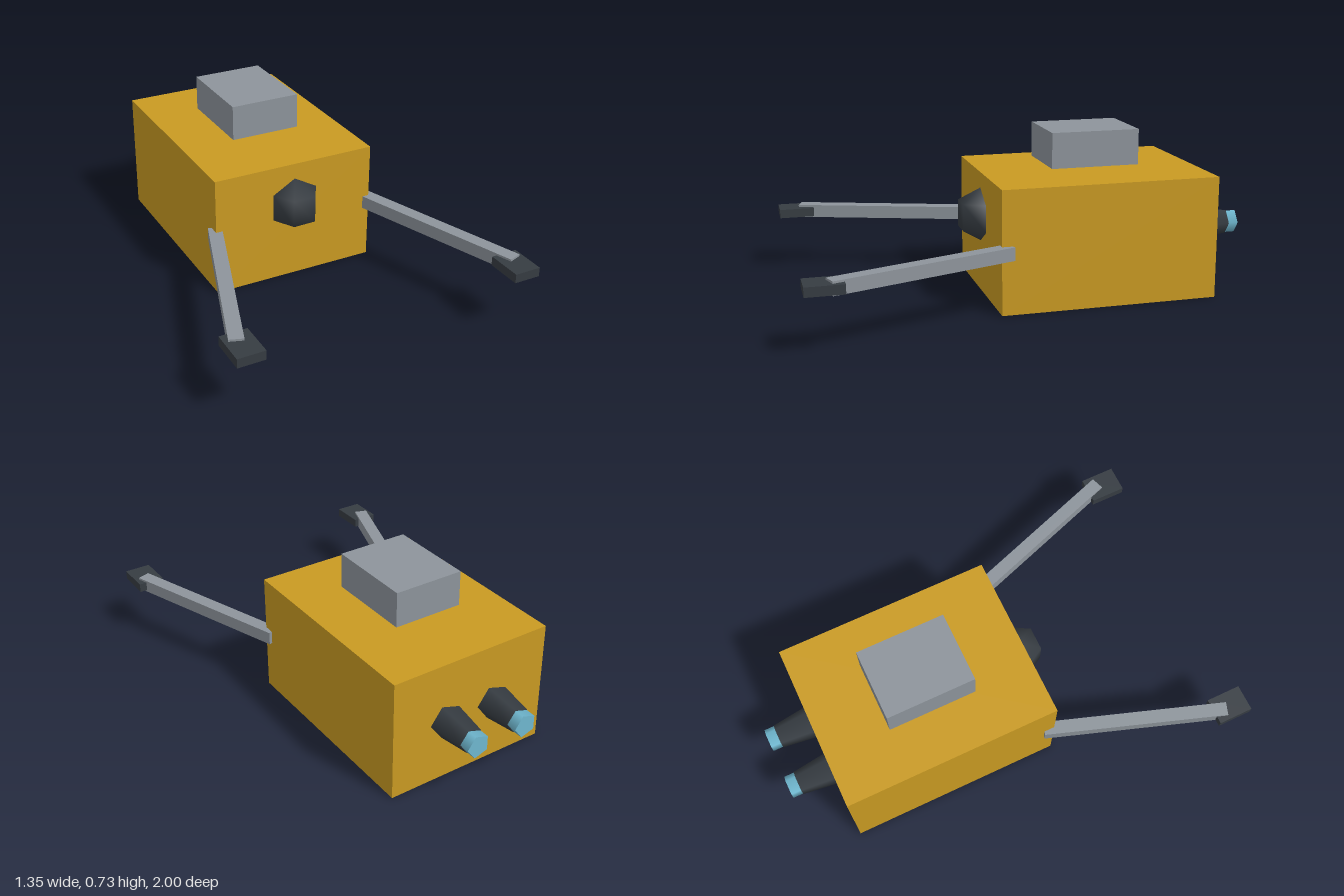
import * as THREE from 'three';

const material = (name, color) => {
  const m = new THREE.MeshStandardMaterial({ color });
  m.name = name;
  return m;
};

export function createModel() {
  const model = new THREE.Group();
  model.name = 'utilityPod';
  const gold = material('gold', 0xc99a22);
  const grey = material('grey', 0x8d949b);
  const dark = material('charcoal', 0x363c42);
  const blue = material('glowBlue', 0x6fb7cf);

  const add = (name, geometry, mat, x, y, z) => {
    const mesh = new THREE.Mesh(geometry, mat);
    mesh.name = name;
    mesh.position.set(x, y, z);
    model.add(mesh);
    return mesh;
  };

  // Five-sided tapered barrel pointing backwards, one corner towards +x
  const barrel = (rear, front, length) =>
    new THREE.CylinderGeometry(rear, front, length, 5)
      .rotateX(-Math.PI / 2)
      .rotateZ(-Math.PI / 2);

  // Hull, raised roof unit and faceted front sensor
  add('hull', new THREE.BoxGeometry(0.75, 0.54, 0.965), gold, 0, 0.27, -0.3175);
  add('roofUnit', new THREE.BoxGeometry(0.316, 0.157, 0.395), grey, 0, 0.647, -0.313);
  add('frontSensor', new THREE.SphereGeometry(0.12, 6, 3), dark, 0, 0.35, 0.165);

  for (const [side, s] of [['left', 1], ['right', -1]]) {
    // Splayed arm with a flat gripper
    const arm = add(side + 'Arm', new THREE.BoxGeometry(0.06, 0.058, 0.822), grey, s * 0.495, 0.27, 0.511);
    arm.rotation.y = s * 0.33;
    add(side + 'Gripper', new THREE.BoxGeometry(0.118, 0.04, 0.157), dark, s * 0.615, 0.27, 0.9215);

    // Rear thruster and its glowing nozzle
    add(side + 'Thruster', barrel(0.056, 0.078, 0.165), dark, s * 0.1177, 0.273, -0.8725);
    add(side + 'Nozzle', barrel(0.053, 0.053, 0.06), blue, s * 0.1177, 0.273, -0.97);
  }

  return model;
}
